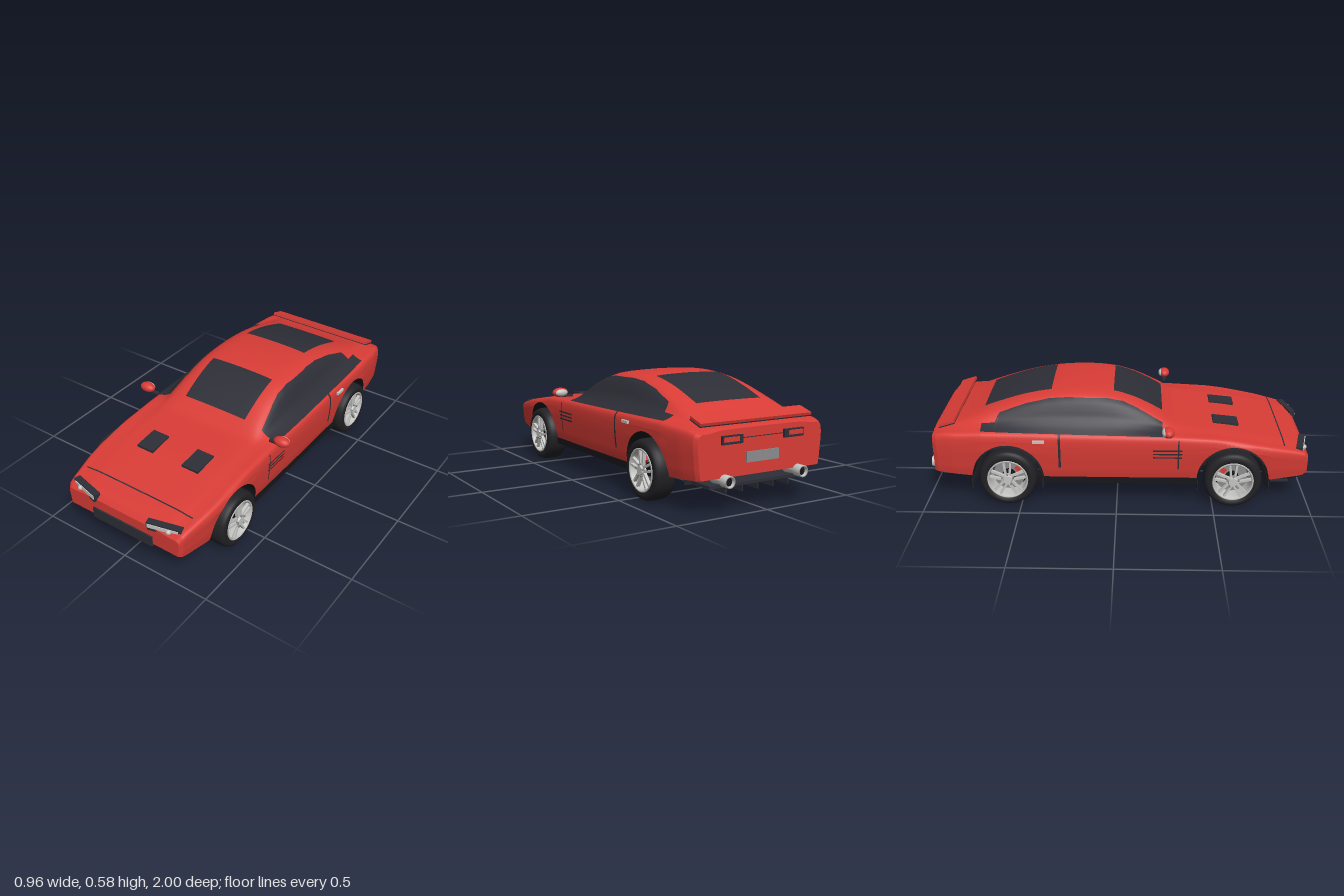
import * as THREE from 'three';

const mat = (name, color) => Object.assign(new THREE.MeshStandardMaterial({ color }), { name });
const RED = mat('red paint', 0xd93c36);
const GLASS = mat('dark glass and trim', 0x2e2e37);
const BLACK = mat('black underbody', 0x17171a);
const RUBBER = mat('tyre rubber', 0x222226);
const SILVER = mat('silver metal', 0xc6c6c4);
const GREY = mat('grey metal', 0x8c8c8e);
const LINER = mat('wheel arch liner', 0x26262c);
LINER.side = THREE.DoubleSide;

// Piecewise linear lookup, plus a smoothed version
const lerp = (t, v) => {
  if (v <= t[0][0]) return t[0][1];
  for (let i = 1; i < t.length; i++) {
    const [a, p] = t[i - 1], [b, q] = t[i];
    if (v <= b) return p + (q - p) * (v - a) / (b - a);
  }
  return t[t.length - 1][1];
};
const soft = (t, v) => [-0.03, -0.015, 0, 0.015, 0.03].reduce((s, d) => s + lerp(t, v + d), 0) / 5;

// Body lines along z: centre height, belt height, half width, underside
const TOP = [[-0.955, 0.39], [-0.93, 0.4], [-0.874, 0.408], [-0.8, 0.433], [-0.7, 0.474], [-0.6, 0.512], [-0.5, 0.545], [-0.4, 0.568],
  [-0.3, 0.581], [-0.2, 0.586], [-0.1, 0.583], [0, 0.569], [0.1, 0.533], [0.2, 0.48], [0.25, 0.447], [0.3, 0.409], [0.4, 0.399],
  [0.5, 0.389], [0.6, 0.378], [0.8, 0.342], [0.94, 0.312], [0.97, 0.302], [0.99, 0.28]];
const BELT = [[-0.955, 0.375], [-0.9, 0.392], [-0.7, 0.402], [-0.2, 0.396], [0.3, 0.39], [0.5, 0.38], [0.6, 0.368],
  [0.8, 0.332], [0.94, 0.302], [0.97, 0.292], [0.99, 0.272]];
const WIDTH = [[-0.955, 0.36], [-0.935, 0.372], [-0.85, 0.387], [-0.7, 0.398], [0, 0.402], [0.7, 0.398], [0.8, 0.39], [0.97, 0.362], [0.99, 0.348]];
const BASE = [[-0.955, 0.17], [-0.75, 0.155], [0.415, 0.155], [0.785, 0.145], [0.96, 0.162], [0.99, 0.178]];
const AXLES = [0.6, -0.565], AXLE_Y = 0.155, ARCH = 0.185;

const under = z => {
  let y = lerp(BASE, z);
  for (const c of AXLES) if (Math.abs(z - c) < ARCH) y = Math.max(y, AXLE_Y + Math.sqrt(ARCH ** 2 - (z - c) ** 2));
  return y;
};

// Half cross-section from the sill up to the roof centre
function section(z) {
  const w = lerp(WIDTH, z), b = lerp(BELT, z), t = z > 0.93 || z < -0.9 ? lerp(TOP, z) : soft(TOP, z), y0 = under(z);
  const ys = Math.max(b - 0.04, y0 + 0.005), pts = [];
  for (let i = 0; i <= 5; i++) {
    const y = y0 + (ys - y0) * i / 5;
    pts.push(new THREE.Vector2(w * lerp([[0.14, 0.945], [0.2, 0.975], [0.3, 1]], y), y));
  }
  pts.push(new THREE.Vector2(w * 0.987, Math.max(b - 0.012, ys + 0.003)));
  for (const [q, k] of [[0.95, 0.02], [0.87, 0.15], [0.79, 0.35], [0.745, 0.55], [0.68, 0.78], [0.57, 0.92], [0.36, 0.98], [0, 1]])
    pts.push(new THREE.Vector2(w * q, b + (t - b) * k));
  return new THREE.SplineCurve(pts).getPoints(42);
}
const xAt = (z, y) => lerp(section(z).map(p => [p.y, p.x]), y);
const yAt = (z, x) => lerp(section(z).slice(18).reverse().map(p => [p.x, p.y]), Math.abs(x));

// Surface through rows of points
function grid(rows) {
  const n = rows[0].length, idx = [];
  for (let i = 0; i < rows.length - 1; i++) for (let j = 0; j < n - 1; j++) {
    const a = i * n + j, c = a + n;
    idx.push(a, a + 1, c, a + 1, c + 1, c);
  }
  const g = new THREE.BufferGeometry();
  g.setAttribute('position', new THREE.Float32BufferAttribute(rows.flat(2), 3));
  g.setIndex(idx);
  g.computeVertexNormals();
  return g;
}
const range = (a, b, n) => Array.from({ length: n + 1 }, (_, i) => a + (b - a) * i / n);

export function createModel() {
  const car = new THREE.Group();
  car.name = 'sportsCar';
  const add = (name, geo, m, x = 0, y = 0, z = 0, parent = car) => {
    const mesh = new THREE.Mesh(geo, m);
    mesh.name = name;
    mesh.position.set(x, y, z);
    parent.add(mesh);
    return mesh;
  };
  const box = (name, m, sx, sy, sz, x, y, z, parent) => add(name, new THREE.BoxGeometry(sx, sy, sz), m, x, y, z, parent);

  // Body shell, underside and end faces
  const zs = range(-0.955, 0.99, 90);
  for (const c of AXLES) for (const a of range(0, Math.PI, 28)) zs.push(c + ARCH * Math.cos(a));
  zs.push(0.97, -0.935);
  zs.sort((a, b) => a - b);
  const secs = zs.map(z => [z, section(z)]);
  add('bodyShell', grid(secs.map(([z, s]) => [...s.map(p => [p.x, p.y, z]), ...s.slice(0, -1).reverse().map(p => [-p.x, p.y, z])])), RED);
  add('underside', grid(secs.map(([z, s]) => [[-s[0].x, s[0].y, z], [s[0].x, s[0].y, z]])), BLACK);
  for (const [name, [z, s], d] of [['noseFace', secs[secs.length - 1], 1], ['tailFace', secs[0], -1]])
    add(name, grid(s.map(p => [[-p.x * d, p.y, z], [p.x * d, p.y, z]])), RED);

  // Thin patches that follow the body
  const sidePatch = (name, m, z0, z1, lo, hi, s, nz = 2, off = 0.005) => add(name, grid(range(z0, z1, nz).map(z => {
    const row = range(lo(z), hi(z), 14).map(y => [s * (xAt(z, y) + off), y + off * 0.4, z]);
    return s > 0 ? row : row.reverse();
  })), m);
  const topPatch = (name, m, z0, z1, w, nz) => add(name, grid(range(z0, z1, nz).map(z =>
    range(w, -w, 20).map(x => [x, yAt(z, x) + 0.005, z]))), m);

  topPatch('windshield', GLASS, -0.02, 0.235, 0.192, 24);
  topPatch('rearWindow', GLASS, -0.7, -0.345, 0.192, 30);
  topPatch('hoodSeam', GLASS, 0.862, 0.869, 0.335, 1);

  const winLo = z => lerp([[-0.7, 0.406], [0.23, 0.391]], z);
  const winHi = z => lerp([[-0.7, 0.428], [-0.625, 0.434], [-0.615, 0.475], [-0.47, 0.523], [-0.35, 0.548], [-0.25, 0.555], [-0.05, 0.55],
    [0.03, 0.535], [0.1, 0.505], [0.18, 0.462], [0.235, 0.432]], z);

  for (const s of [1, -1]) {
    // Side glass, door seams, vents and handle
    sidePatch('sideWindow', GLASS, -0.7, 0.235, winLo, winHi, s, 80, 0.006);
    sidePatch('frontDoorSeam', GLASS, 0.313, 0.32, () => 0.21, () => 0.375, s, 1);
    sidePatch('rearDoorSeam', GLASS, -0.3, -0.288, () => 0.215, () => 0.4, s, 1);
    for (const y of [0.28, 0.3, 0.32]) sidePatch('fenderVent', GLASS, 0.185, 0.335, () => y - 0.004, () => y + 0.004, s, 6, 0.007);
    box('doorHandle', SILVER, 0.012, 0.014, 0.06, s * 0.406, 0.366, -0.4);

    // Hood scoops
    box('hoodScoop', GLASS, 0.1, 0.014, 0.135, s * 0.143, 0.383, 0.572).rotation.x = 0.1;

    // Headlights
    const lamp = new THREE.Group();
    lamp.name = 'headlight';
    lamp.position.set(s * 0.245, 0.296, 0.964);
    lamp.rotation.y = s * 0.24;
    car.add(lamp);
    box('lampHousing', GLASS, 0.18, 0.034, 0.034, 0, 0, 0, lamp);
    box('lampInnerHousing', GLASS, 0.05, 0.02, 0.034, -s * 0.06, -0.018, 0, lamp);
    box('lampStrip', SILVER, 0.16, 0.02, 0.006, -s * 0.004, 0, 0.018, lamp);
    add('lampBulb', new THREE.SphereGeometry(0.014, 16, 12), SILVER, s * 0.028, -0.003, 0.02, lamp);

    // Door mirrors
    box('mirrorStem', GLASS, 0.07, 0.012, 0.02, s * 0.4, 0.42, 0.26);
    add('mirrorShell', new THREE.SphereGeometry(1, 24, 16), RED, s * 0.436, 0.439, 0.262).scale.set(0.045, 0.026, 0.03);
    add('mirrorGlass', new THREE.SphereGeometry(1, 20, 12), SILVER, s * 0.436, 0.439, 0.245).scale.set(0.036, 0.02, 0.017);

    // Tail lamps
    box('tailLampFrame', GLASS, 0.115, 0.04, 0.024, s * 0.18, 0.343, -0.957);
    box('tailLampLens', RED, 0.085, 0.022, 0.006, s * 0.188, 0.346, -0.97);

    // Exhaust pipes
    const pipe = [[0.02, -0.08], [0.026, -0.08], [0.022, -0.02], [0.029, -0.005], [0.029, 0.04], [0.022, 0.04], [0.02, 0]];
    add('exhaustPipe', new THREE.LatheGeometry(pipe.map(p => new THREE.Vector2(...p)), 24), SILVER, s * 0.215, 0.158, -0.96).rotation.x = -Math.PI / 2;
    add('exhaustBore', new THREE.CircleGeometry(0.022, 24), BLACK, s * 0.215, 0.158, -0.985).rotation.y = Math.PI;
  }

  // Front plate, chin and splitter
  box('frontPlate', GLASS, 0.372, 0.06, 0.012, 0, 0.195, 0.992);
  const chin = new THREE.Shape([[0.785, 0.15], [0.79, 0.132], [0.93, 0.135], [0.982, 0.17], [0.96, 0.175]].map(p => new THREE.Vector2(...p)));
  const chinGeo = new THREE.ExtrudeGeometry(chin, { depth: 0.66, bevelEnabled: false });
  add('chin', chinGeo, BLACK, -0.33).rotation.y = -Math.PI / 2;
  car.children[car.children.length - 1].position.x = 0.33;
  box('splitter', GLASS, 0.65, 0.012, 0.095, 0, 0.118, 0.853);

  // Floor and sills
  box('floor', BLACK, 0.77, 0.034, 0.83, 0, 0.141, 0);

  // Tail: number plate, seam, spoiler and diffuser
  box('rearPlate', GREY, 0.19, 0.05, 0.01, 0, 0.253, -0.957);
  box('tailSeam', GLASS, 0.24, 0.003, 0.004, 0, 0.345, -0.956);
  box('spoiler', RED, 0.65, 0.014, 0.085, 0, 0.427, -0.882).rotation.x = -0.3;
  box('spoilerShadowGap', GLASS, 0.656, 0.005, 0.085, 0, 0.418, -0.881).rotation.x = -0.3;
  box('diffuser', GLASS, 0.56, 0.014, 0.14, 0, 0.126, -0.86);
  for (let i = -2; i <= 2; i++) box('diffuserFin', GLASS, 0.006, 0.036, 0.135, i * 0.092, 0.106, -0.862);

  // Wheel arch liners
  for (const c of AXLES) {
    const arch = new THREE.CylinderGeometry(0.183, 0.183, 0.71, 40, 1, true, 0, Math.PI);
    arch.rotateZ(Math.PI / 2);
    add('archLiner', arch, LINER, -0.065, AXLE_Y, c);
    for (const d of [1, -1]) box('archLinerSkirt', LINER, 0.71, 0.053, 0.004, -0.065, 0.13, c + d * 0.183);
  }

  // Wheels, built with the axle along x and the outer face at +x
  const lathe = (pts, n = 48) => new THREE.LatheGeometry(pts.map(p => new THREE.Vector2(...p)), n).rotateZ(-Math.PI / 2);
  const tyre = lathe([[0.105, -0.058], [0.13, -0.058], [0.143, -0.05], [0.149, -0.035], [0.151, 0], [0.149, 0.035], [0.143, 0.05],
    [0.13, 0.058], [0.107, 0.057], [0.105, 0.045]]);
  const rim = lathe([[0.1, -0.055], [0.107, -0.058], [0.107, 0.058], [0.102, 0.062], [0.096, 0.056], [0.094, 0.03], [0.094, -0.05], [0.1, -0.055]]);
  const disc = new THREE.CylinderGeometry(0.082, 0.082, 0.012, 36).rotateZ(Math.PI / 2);
  const hub = new THREE.CylinderGeometry(0.022, 0.03, 0.022, 20).rotateZ(-Math.PI / 2);
  const bolt = new THREE.CylinderGeometry(0.005, 0.005, 0.012, 6).rotateZ(Math.PI / 2);
  for (const s of [1, -1]) AXLES.forEach((c, k) => {
    const wheel = new THREE.Group();
    wheel.name = k ? 'rearWheel' : 'frontWheel';
    wheel.position.set(s * 0.36, AXLE_Y, c);
    wheel.rotation.y = s > 0 ? 0 : Math.PI;
    car.add(wheel);
    add('tyre', tyre, RUBBER, 0, 0, 0, wheel);
    add('rim', rim, SILVER, 0, 0, 0, wheel);
    add('brakeDisc', disc, GREY, -0.01, 0, 0, wheel);
    add('axleHub', new THREE.CylinderGeometry(0.035, 0.035, 0.06, 20).rotateZ(Math.PI / 2), BLACK, -0.02, 0, 0, wheel);
    add('hubCap', hub, SILVER, 0.054, 0, 0, wheel);
    box('brakeCaliper', RED, 0.034, 0.045, 0.026, -0.008, 0.045, (k ? 0.055 : -0.055) * s, wheel).rotation.x = (k ? 0.8 : -0.8) * s;
    for (let i = 0; i < 5; i++) {
      const arm = new THREE.Group();
      arm.name = 'spoke';
      arm.rotation.x = i * Math.PI * 2 / 5;
      wheel.add(arm);
      for (const d of [1, -1]) box('spokeBlade', SILVER, 0.016, 0.085, 0.011, 0.048, 0.058, d * 0.014, arm).rotation.x = d * 0.1;
      add('wheelBolt', bolt, GREY, 0.062, 0.03, 0, arm);
    }
  });
  return car;
}
